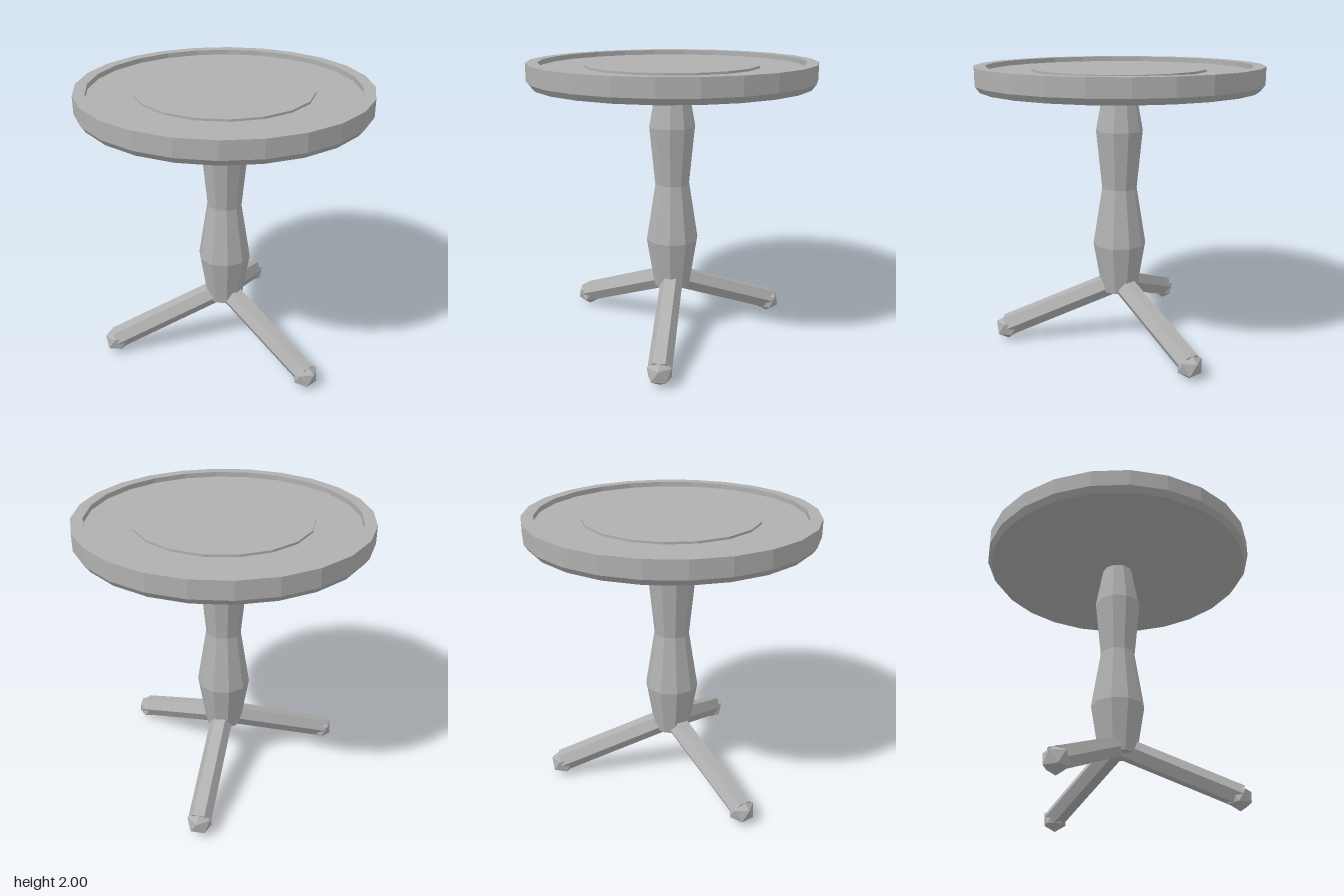
import * as THREE from 'three';

export function createModel() {
  const group = new THREE.Group();
  group.name = 'pedestalTable';
  const grey = new THREE.MeshStandardMaterial({ color: 0xb0b0b0 });
  grey.name = 'grey';
  grey.flatShading = true;

  const add = (parent, geometry, name) => {
    const mesh = new THREE.Mesh(geometry, grey);
    mesh.name = name;
    parent.add(mesh);
    return mesh;
  };
  // Faceted turned part, profile listed as [radius, y], one corner on the x axis
  const turned = (profile, sides) => new THREE.LatheGeometry(
    profile.map(([r, y]) => new THREE.Vector2(r, y)), sides, Math.PI / 2);

  // Round top with a chamfered underside and a shallow recess inside the rim
  add(group, turned([
    [0, 1.84], [0.955, 1.84], [0.985, 1.88], [0.985, 2],
    [0.905, 2], [0.905, 1.965], [0, 1.965],
  ], 24), 'tableTop');

  // Slightly raised centre disc
  add(group, turned([[0.6, 1.96], [0.6, 1.98], [0, 1.98]], 18), 'centreDisc');

  // Ten-sided baluster column
  add(group, turned([
    [0, 0.375], [0.13, 0.375], [0.188, 0.73], [0.123, 1.14],
    [0.164, 1.55], [0.11, 1.845],
  ], 10), 'column');

  // Three sloping hexagonal legs with faceted ball feet
  const start = new THREE.Vector2(0.02, 0.432);
  const end = new THREE.Vector2(0.83, 0.107);
  const span = end.clone().sub(start);
  const legGeometry = new THREE.CylinderGeometry(0.081, 0.081, span.length(), 6);
  legGeometry.rotateZ(Math.atan2(-span.x, span.y));
  legGeometry.translate((start.x + end.x) / 2, (start.y + end.y) / 2, 0);

  // Turn the ball so a corner points straight up and another points outward
  const footGeometry = new THREE.IcosahedronGeometry(0.093, 0);
  footGeometry.rotateZ(-Math.atan(2 / (1 + Math.sqrt(5))));
  footGeometry.translate(0.825, 0.097, 0);

  for (let i = 0; i < 3; i++) {
    const leg = new THREE.Group();
    leg.name = 'legAssembly' + (i + 1);
    add(leg, legGeometry, 'leg');
    add(leg, footGeometry, 'foot');
    leg.rotation.y = i * Math.PI * 2 / 3;
    group.add(leg);
  }
  return group;
}
